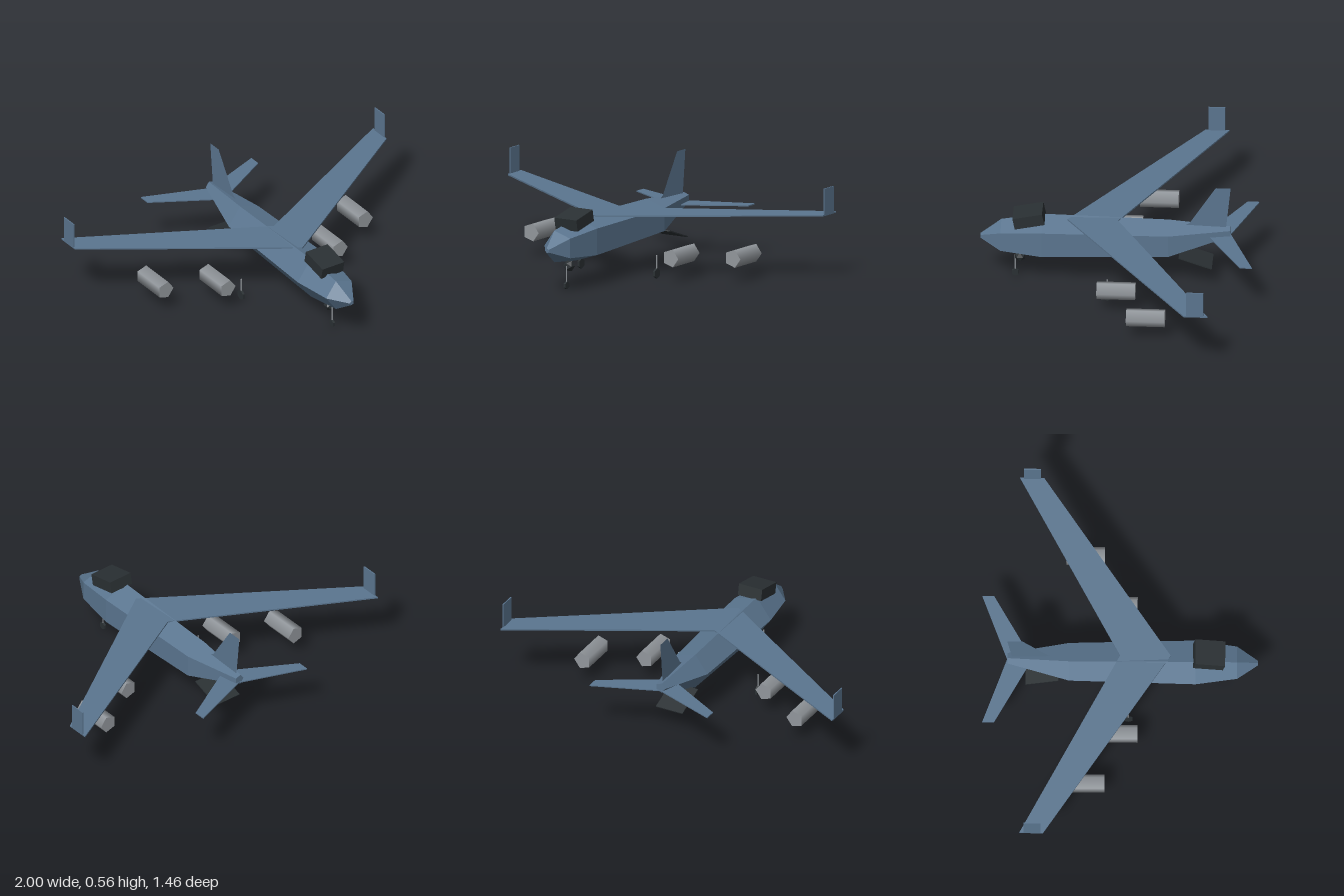
import * as THREE from 'three';

const mat = (name, color, extra = {}) => new THREE.MeshStandardMaterial({ name, color, flatShading: true, ...extra });

export function createModel() {
  const model = new THREE.Group();
  model.name = 'aircraft';
  const blue = mat('blue paint', 0x5b7690, { side: THREE.DoubleSide });
  const grey = mat('engine grey', 0x92979c, { flatShading: false });
  const dark = mat('dark glass', 0x2a3033);

  const add = (name, geometry, material, x = 0, y = 0, z = 0) => {
    const mesh = new THREE.Mesh(geometry, material);
    mesh.name = name;
    mesh.position.set(x, y, z);
    model.add(mesh);
    return mesh;
  };

  // Horizontal plate from [x, z] corners
  const plate = (corners, thickness) => {
    const shape = new THREE.Shape(corners.map(([x, z]) => new THREE.Vector2(x, -z)));
    return new THREE.ExtrudeGeometry(shape, { depth: thickness, bevelEnabled: false }).rotateX(-Math.PI / 2);
  };

  // Five-sided fuselage lofted through [z, centre y, radius]
  const stations = [[0.73, 0.237, 0.013], [0.62, 0.24, 0.09], [0.4, 0.242, 0.122], [-0.27, 0.248, 0.105], [-0.597, 0.303, 0.029]];
  const sides = 5;
  const points = [];
  const index = [];
  stations.forEach(([z, y, r], i) => {
    for (let j = 0; j < sides; j++) {
      const a = Math.PI + (j * 2 * Math.PI) / sides;
      points.push(r * Math.cos(a), y + r * Math.sin(a), z);
      if (i === stations.length - 1) continue;
      const p = i * sides + j, q = i * sides + ((j + 1) % sides);
      index.push(p, p + sides, q, q, p + sides, q + sides);
    }
  });
  const last = (stations.length - 1) * sides;
  for (let j = 1; j < sides - 1; j++) index.push(0, j, j + 1, last, last + j + 1, last + j);
  const body = new THREE.BufferGeometry();
  body.setAttribute('position', new THREE.Float32BufferAttribute(points, 3));
  body.setIndex(index);
  const flatBody = body.toNonIndexed();
  flatBody.computeVertexNormals();
  add('fuselage', flatBody, blue);

  // Cockpit, chin sensor and open cargo ramp
  add('cockpit', new THREE.BoxGeometry(0.14, 0.064, 0.16), dark, 0, 0.365, 0.472).rotation.x = 0.205;
  add('chinSensor', new THREE.IcosahedronGeometry(0.032, 0), dark, 0, 0.122, 0.52);
  add('cargoRamp', new THREE.BoxGeometry(0.16, 0.006, 0.185), dark, 0, 0.146, -0.413).rotation.x = -0.33;

  // Tail fin
  const fin = new THREE.Shape([[0.36, 0.337], [0.38, 0.35], [0.518, 0.565], [0.597, 0.565], [0.573, 0.33]]
    .map(([x, y]) => new THREE.Vector2(x, y)));
  add('tailFin', new THREE.ShapeGeometry(fin).rotateY(Math.PI / 2), blue);

  // Landing gear leg with a six-sided wheel
  const gear = (name, x, z, r) => {
    add(name + 'Strut', new THREE.CylinderGeometry(0.004, 0.004, 0.125 - r, 5), grey, x, (0.125 + r) / 2, z);
    const wheel = new THREE.CylinderGeometry(r, r, 0.012, 6).rotateZ(Math.PI / 2);
    wheel.rotateX(Math.PI / 2);
    add(name + 'Wheel', wheel, dark, x, r, z);
  };
  gear('noseGear', 0, 0.545, 0.021);

  for (const s of [1, -1]) {
    const side = s > 0 ? 'left' : 'right';
    // Swept wing, winglet and tailplane
    add(side + 'Wing', plate([[0, 0.268], [s, -0.405], [s, -0.532], [0, 0]], 0.008), blue, 0, 0.343, 0);
    add(side + 'Winglet', new THREE.BoxGeometry(0.006, 0.145, 0.09), blue, s * 0.997, 0.418, -0.465);
    add(side + 'Tailplane', plate([[0, -0.465], [s * 0.355, -0.667], [s * 0.355, -0.73], [0, -0.598]], 0.006), blue, 0, 0.282, 0);
    // Five-sided engines, two on each side
    for (const [name, x, z] of [['InnerEngine', 0.36, -0.01], ['OuterEngine', 0.64, -0.183]]) {
      const engine = new THREE.CylinderGeometry(0.05, 0.05, 0.205, 5).rotateX(Math.PI / 2);
      engine.rotateZ(Math.PI / 2);
      add(side + name, engine, grey, s * x, 0.13, z);
    }
    gear(side + 'MainGear', s * 0.24, 0.043, 0.028);
  }
  return model;
}
